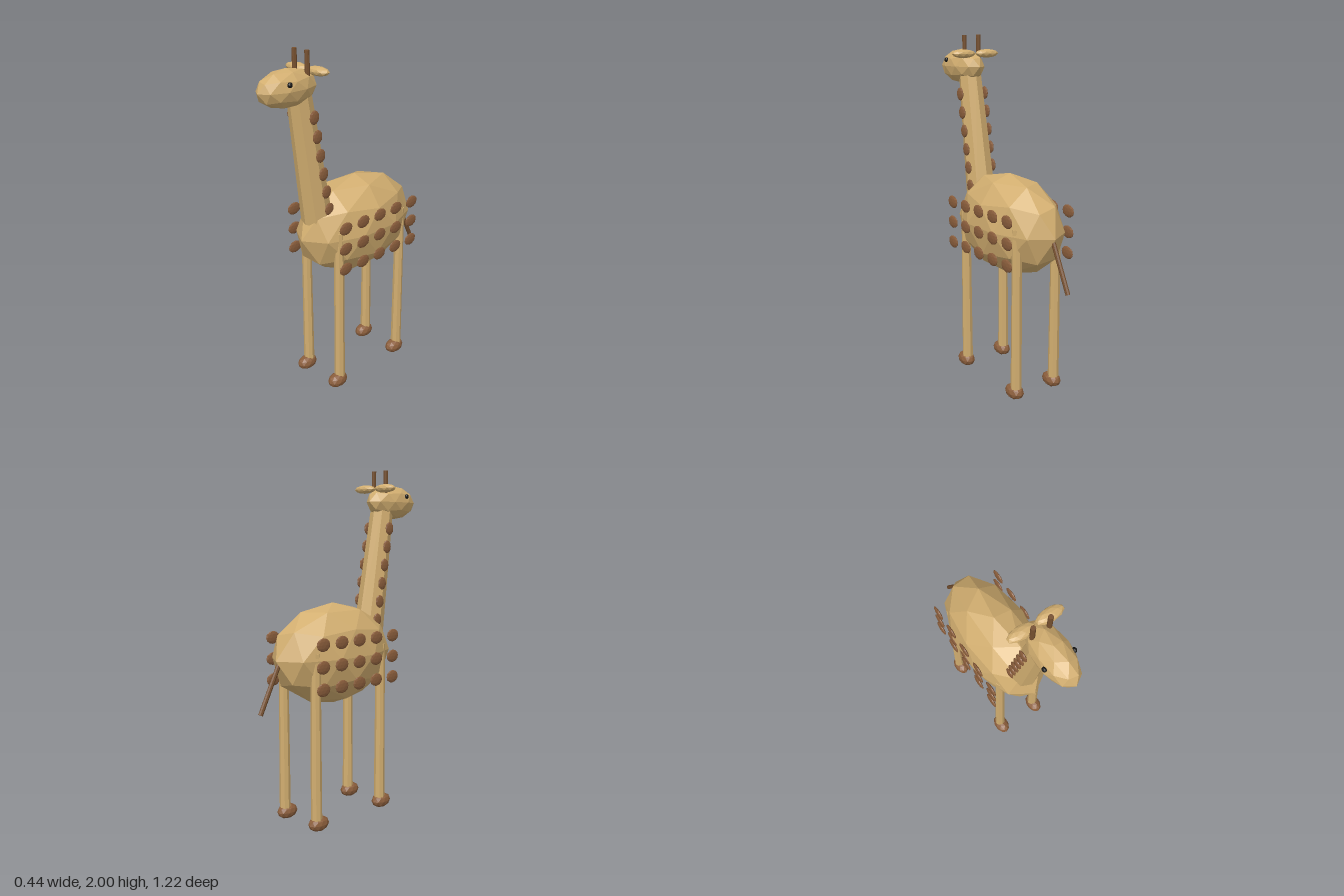
import * as THREE from 'three';

const mat = (color) => new THREE.MeshStandardMaterial({ color, flatShading: true });

export function createModel() {
  const model = new THREE.Group();
  const tan = mat(0xd2ae70), brown = mat(0x8b5e3c), darkBrown = mat(0x76502f), black = mat(0x151515);

  // Faceted ball with a corner at each pole, shared by all rounded parts
  const ball = new THREE.IcosahedronGeometry(1, 1);
  ball.rotateX(-Math.atan((1 + Math.sqrt(5)) / 2));
  ball.rotateY(Math.PI / 2);

  function add(name, geometry, material, parent = model) {
    const mesh = new THREE.Mesh(geometry, material);
    mesh.name = name;
    parent.add(mesh);
    return mesh;
  }

  function ellipsoid(name, material, position, radii, parent) {
    const mesh = add(name, ball, material, parent);
    mesh.position.set(...position);
    mesh.scale.set(...radii);
    return mesh;
  }

  // Tapered eight-sided rod from a (lower) to b (upper)
  function rod(name, material, a, b, rLow, rHigh, parent) {
    const p = new THREE.Vector3(...a), q = new THREE.Vector3(...b);
    const dir = q.clone().sub(p);
    const mesh = add(name, new THREE.CylinderGeometry(rHigh, rLow, dir.length(), 8), material, parent);
    mesh.position.copy(p).add(q).multiplyScalar(0.5);
    mesh.quaternion.setFromUnitVectors(new THREE.Vector3(0, 1, 0), dir.normalize());
    return mesh;
  }

  // Torso, neck, head and tail
  ellipsoid('body', tan, [0, 0.96, -0.07], [0.22, 0.29, 0.42]);
  rod('neck', tan, [0, 1.06, 0.23], [0, 1.8, 0.345], 0.087, 0.065);
  ellipsoid('head', tan, [0, 1.82, 0.42], [0.094, 0.1, 0.188]);
  rod('tail', darkBrown, [0, 0.685, -0.6], [0, 0.97, -0.455], 0.013, 0.013);

  for (const [side, s] of [['left', 1], ['right', -1]]) {
    // Face details
    ellipsoid(side + 'Ear', tan, [s * 0.079, 1.895, 0.28], [0.077, 0.025, 0.036]);
    ellipsoid(side + 'Eye', black, [s * 0.083, 1.855, 0.47], [0.012, 0.014, 0.014]);
    rod(side + 'Horn', darkBrown, [s * 0.047, 1.84, 0.322], [s * 0.047, 2, 0.322], 0.013, 0.013);

    // Legs and hooves
    for (const [end, z] of [['Front', 0.19], ['Back', -0.325]]) {
      rod(side + end + 'Leg', tan, [s * 0.133, 0.05, z], [s * 0.133, 1, z], 0.032, 0.027);
      ellipsoid(side + end + 'Hoof', brown, [s * 0.133, 0.043, z + 0.016], [0.045, 0.043, 0.067]);
    }

    // Row of spots up the neck
    const neckSpots = new THREE.Group();
    neckSpots.name = side + 'NeckSpots';
    model.add(neckSpots);
    for (let i = 0; i < 6; i++) {
      ellipsoid('neckSpot', brown, [s * 0.085, 1.135 + i * 0.106, 0.215 + i * 0.02], [0.01, 0.038, 0.033], neckSpots);
    }

    // Grid of spots along the flank
    const bodySpots = new THREE.Group();
    bodySpots.name = side + 'BodySpots';
    model.add(bodySpots);
    for (let row = 0; row < 3; row++) {
      for (let col = 0; col < 5; col++) {
        ellipsoid('bodySpot', brown, [s * 0.208, 0.813 + row * 0.121, 0.212 - col * 0.1375], [0.01, 0.037, 0.049], bodySpots);
      }
    }
  }
  return model;
}
